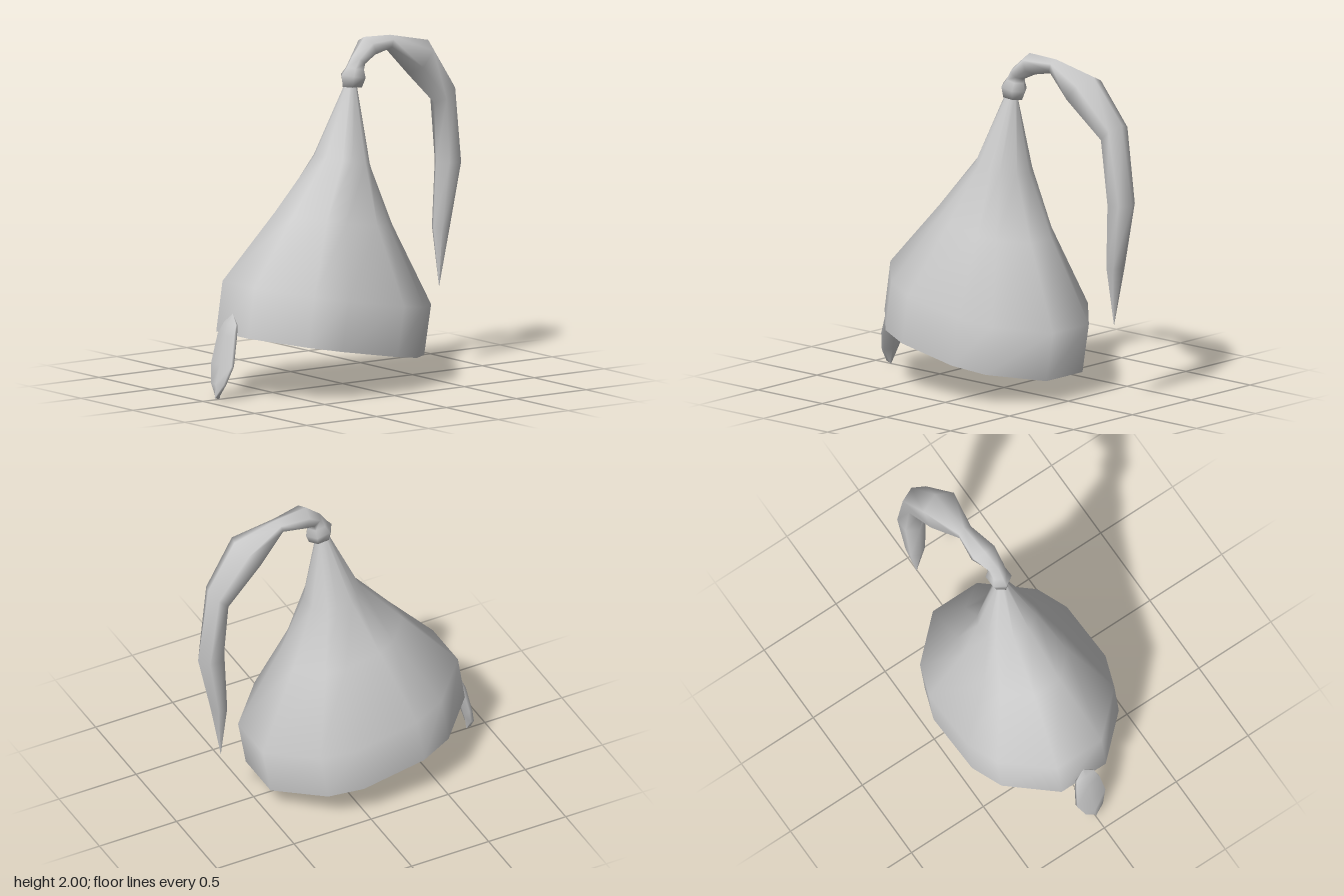
import * as THREE from 'three';

const material = new THREE.MeshStandardMaterial({ color: 0xcccccc, side: THREE.DoubleSide });

// Cross-sections as [x, t]: t = 1 lies on the front/outer profile, t = -1 on the back/inner one
const half = [[0.32, 1], [0.85, 0.62], [1, 0.31], [1, -0.31], [0.85, -0.62], [0.32, -1]];
const hatSection = [...half, ...half.map(([x, t]) => [-x, t]).reverse()];
const hexSection = [[0, 1], [1, 0.5], [1, -0.5], [0, -1], [-1, -0.5], [-1, 0.5]];

// Skins a section over rings [frontZ, frontY, backZ, backY, centreX, halfWidthX]
function loft(name, section, rings) {
  const n = section.length;
  const positions = [];
  const index = [];
  for (const [fz, fy, bz, by, cx, w] of rings) {
    for (const [x, t] of section) {
      const k = (t + 1) / 2;
      positions.push(cx + x * w, by + (fy - by) * k, bz + (fz - bz) * k);
    }
  }
  for (let i = 0; i < rings.length - 1; i++) {
    for (let j = 0; j < n; j++) {
      const a = i * n + j;
      const b = i * n + (j + 1) % n;
      index.push(a, b, b + n, a, b + n, a + n);
    }
  }
  const geometry = new THREE.BufferGeometry();
  geometry.setAttribute('position', new THREE.Float32BufferAttribute(positions, 3));
  geometry.setIndex(index);
  geometry.computeVertexNormals();
  const mesh = new THREE.Mesh(geometry, material);
  mesh.name = name;
  return mesh;
}

export function createModel() {
  const model = new THREE.Group();
  model.name = 'pointedHat';

  // Open, tilted cone with an upright band
  model.add(loft('hatCone', hatSection, [
    [0.79, 0.365, -0.47, 0.14, 0, 0.48],
    [0.745, 0.655, -0.52, 0.43, 0, 0.48],
    [0.42, 1.03, -0.29, 0.91, 0, 0.275],
    [0.16, 1.34, -0.15, 1.28, 0, 0.165],
    [-0.02, 1.74, -0.095, 1.73, 0, 0.03],
  ]));

  // Knot at the peak, running on into the drooping tail
  model.add(loft('knotAndTail', hexSection, [
    [-0.07, 1.725, -0.07, 1.725, 0, 0],
    [0, 1.73, -0.14, 1.72, 0, 0.045],
    [0.005, 1.8, -0.16, 1.77, 0, 0.063],
    [-0.03, 1.84, -0.15, 1.82, 0, 0.045],
    [-0.07, 1.9, -0.15, 1.845, 0, 0.045],
    [-0.175, 2, -0.22, 1.88, -0.025, 0.072],
    [-0.37, 1.99, -0.345, 1.905, -0.04, 0.043],
    [-0.65, 1.93, -0.5, 1.75, -0.05, 0.105],
    [-0.84, 1.67, -0.72, 1.55, -0.085, 0.08],
    [-0.91, 1.2, -0.74, 1.2, -0.095, 0.07],
    [-0.83, 0.82, -0.725, 0.82, -0.1, 0.05],
    [-0.765, 0.47, -0.765, 0.47, -0.1, 0],
  ]));

  // Thin leaf hanging from the front of the brim
  model.add(loft('frontLeaf', hexSection, [
    [0.915, 0.01, 0.88, 0, 0, 0],
    [0.908, 0.09, 0.868, 0.09, 0, 0.06],
    [0.878, 0.2, 0.84, 0.2, 0, 0.097],
    [0.845, 0.37, 0.805, 0.36, 0, 0.08],
    [0.812, 0.435, 0.79, 0.43, 0, 0.06],
    [0.785, 0.49, 0.785, 0.49, 0, 0],
  ]));

  return model;
}
